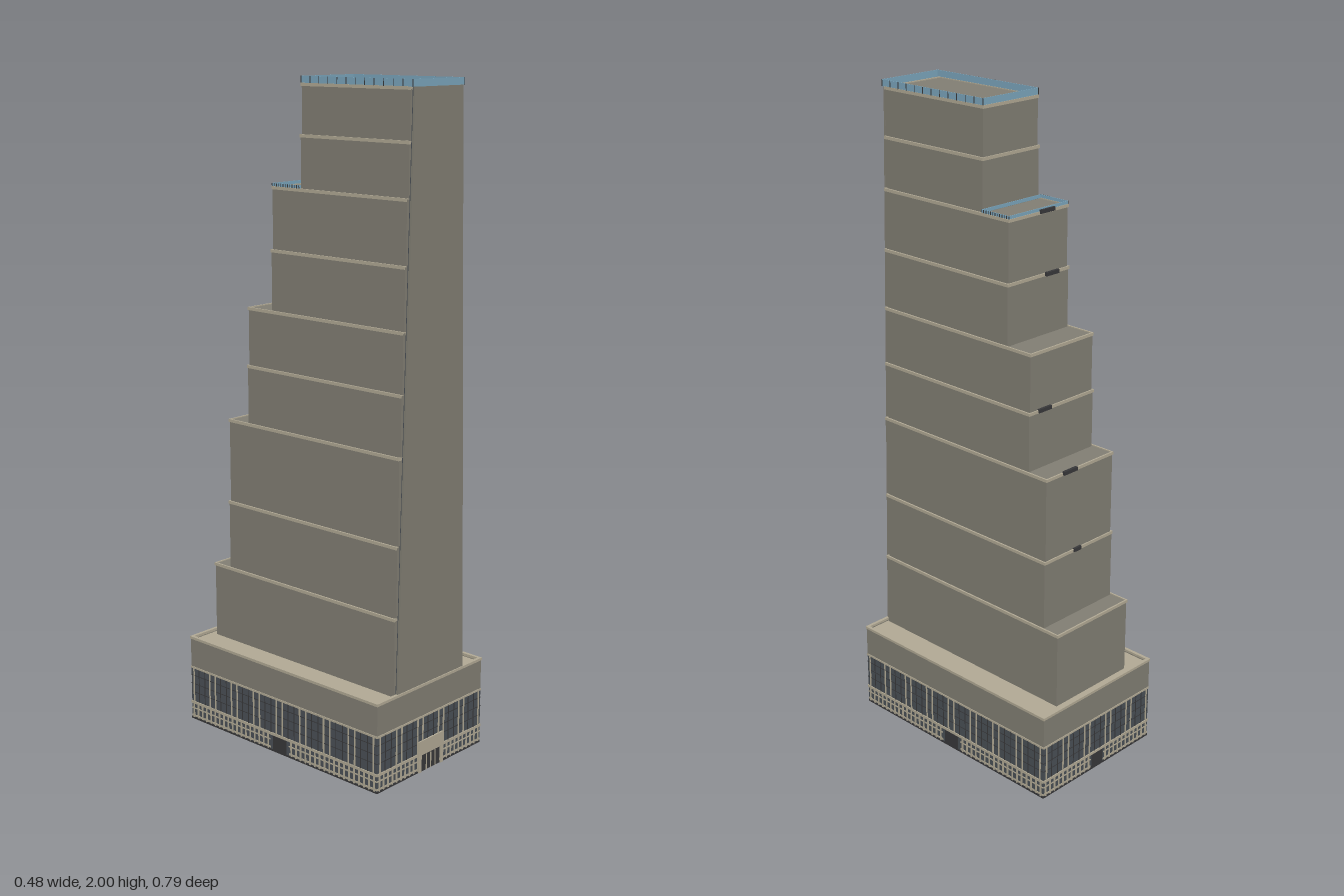
import * as THREE from 'three';

const mat = (name, color, side = THREE.FrontSide) => {
  const m = new THREE.MeshStandardMaterial({ color, side });
  m.name = name;
  return m;
};

export function createModel() {
  const stone = mat('grey stone', 0x827f74);
  const beige = mat('beige trim', 0xb2aa95);
  const windowDark = mat('dark window', 0x4a5056);
  const frame = mat('dark frame', 0x38383a);
  const glass = mat('blue glass', 0x7ba6bd, THREE.DoubleSide);

  const model = new THREE.Group();
  model.name = 'steppedTower';

  // Box given by its limits on each axis
  const box = (parent, name, material, x0, x1, y0, y1, z0, z1) => {
    const mesh = new THREE.Mesh(new THREE.BoxGeometry(x1 - x0, y1 - y0, z1 - z0), material);
    mesh.position.set((x0 + x1) / 2, (y0 + y1) / 2, (z0 + z1) / 2);
    mesh.name = name;
    parent.add(mesh);
    return mesh;
  };

  // Four thin walls around a rectangle
  const ring = (parent, name, material, hx, y0, y1, z0, z1, t) => {
    box(parent, name, material, -hx, hx, y0, y1, z1 - t, z1);
    box(parent, name, material, -hx, hx, y0, y1, z0, z0 + t);
    for (const s of [-1, 1]) {
      const xa = s > 0 ? hx - t : -hx;
      box(parent, name, material, xa, xa + t, y0, y1, z0 + t, z1 - t);
    }
  };

  // Podium: hollow, open underneath
  const podium = new THREE.Group();
  podium.name = 'podium';
  model.add(podium);
  const HX = 0.238, HZ = 0.389;
  ring(podium, 'upperPodiumWall', stone, HX, 0.175, 0.268, -HZ, HZ, 0.008);
  ring(podium, 'podiumParapet', beige, HX + 0.002, 0.267, 0.275, -HZ - 0.002, HZ + 0.002, 0.01);
  box(podium, 'podiumRoof', beige, -HX + 0.008, HX - 0.008, 0.258, 0.265, -HZ + 0.008, HZ - 0.008);

  // One glazed podium wall, built facing +z
  const facade = (length, doorHalf) => {
    const wall = new THREE.Group();
    wall.name = 'podiumFacade';
    const h = length / 2;
    box(wall, 'windowWall', windowDark, -h, h, 0, 0.175, -0.006, 0);
    box(wall, 'storeyBand', beige, -h, h, 0.052, 0.06, 0, 0.003);
    box(wall, 'headBand', beige, -h, h, 0.17, 0.176, 0, 0.002);
    box(wall, 'plinth', frame, -h, h, 0, 0.006, 0, 0.002);
    for (const y of [0.09, 0.118, 0.146])
      box(wall, 'transom', frame, -h, h, y, y + 0.002, 0, 0.001);
    const bays = Math.round(length / 0.098);
    const step = length / bays;
    for (let i = 0; i < bays; i++) {
      const c = -h + (i + 0.5) * step;
      // paired posts and fine mullions
      for (const s of [-1, 1]) {
        box(wall, 'post', beige, c + s * 0.036 - 0.0018, c + s * 0.036 + 0.0018, 0.06, 0.172, 0, 0.003);
        box(wall, 'mullion', frame, c + s * 0.013 - 0.001, c + s * 0.013 + 0.001, 0.06, 0.172, 0, 0.002);
      }
      // shopfront piers and rails
      for (let k = -2; k <= 2; k++) {
        const x = c + k * step / 5;
        if (Math.abs(x) < doorHalf) continue;
        box(wall, 'shopPier', beige, x - 0.003, x + 0.003, 0.004, 0.052, 0, 0.002);
        box(wall, 'shopRail', beige, x - step / 10, x + step / 10, 0.034, 0.038, 0, 0.0015);
        box(wall, 'shopSill', beige, x - step / 10, x + step / 10, 0.008, 0.014, 0, 0.0015);
      }
    }
    box(wall, 'doorway', frame, -doorHalf * 0.8, doorHalf * 0.8, 0, 0.05, 0, 0.002);
    podium.add(wall);
    return wall;
  };
  const front = facade(2 * HX, 0.05);
  front.position.z = HZ;
  // Front entrance with raised portal
  box(front, 'portalHead', beige, -0.056, 0.056, 0.056, 0.098, 0, 0.005);
  for (const s of [-1, 1])
    box(front, 'portalJamb', beige, s * 0.05 - 0.006, s * 0.05 + 0.006, 0, 0.056, 0, 0.005);
  for (const x of [-0.02, 0, 0.02])
    box(front, 'doorFrame', beige, x - 0.0015, x + 0.0015, 0, 0.05, 0.002, 0.004);
  const back = facade(2 * HX, 0.03);
  back.rotation.y = Math.PI;
  back.position.z = -HZ;
  for (const s of [-1, 1]) {
    const side = facade(2 * HZ, 0.035);
    side.rotation.y = s * Math.PI / 2;
    side.position.x = s * HX;
  }

  // Tower: stacked blocks [bottom, top, back z, half width]
  const tower = new THREE.Group();
  tower.name = 'tower';
  model.add(tower);
  const ZF = 0.378;
  const tiers = [
    [0.256, 0.5, -0.36, 0.153],
    [0.5, 0.712, -0.3, 0.146],
    [0.712, 0.97, -0.299, 0.141],
    [0.97, 1.147, -0.224, 0.134],
    [1.147, 1.322, -0.223, 0.129],
    [1.322, 1.502, -0.13, 0.124],
    [1.502, 1.684, -0.129, 0.119],
    [1.684, 1.836, -0.022, 0.112],
    [1.836, 1.978, -0.021, 0.108],
  ];
  for (const [y0, y1, zb, hx] of tiers) {
    box(tower, 'towerBlock', stone, -hx, hx, y0, y1, zb, ZF);
    ring(tower, 'ledgeTrim', beige, hx + 0.002, y1 - 0.006, y1 + 0.003, zb - 0.003, ZF, 0.005);
  }

  // Smooth tapering front slab with glazed edges behind it
  const slab = (name, material, wb, wt, z, depth) => {
    const shape = new THREE.Shape();
    shape.moveTo(-wb, 0.266);
    shape.lineTo(wb, 0.266);
    shape.lineTo(wt, 1.98);
    shape.lineTo(-wt, 1.98);
    const mesh = new THREE.Mesh(
      new THREE.ExtrudeGeometry(shape, { depth, bevelEnabled: false }), material);
    mesh.position.z = z;
    mesh.name = name;
    tower.add(mesh);
  };
  slab('frontEdgeGlazing', windowDark, 0.147, 0.1, ZF, 0.004);
  slab('frontSlab', stone, 0.149, 0.102, ZF + 0.004, 0.006);

  // Glass railings on the summit and the upper terrace
  const railing = (hx, y0, y1, z0, z1) => {
    ring(tower, 'glassRailing', glass, hx, y0, y1, z0, z1, 0.002);
    const n = 12;
    for (let i = 0; i <= n; i++) {
      const z = z0 + (z1 - z0) * i / n;
      for (const s of [-1, 1])
        box(tower, 'railingPost', frame, s * hx - 0.001, s * hx + 0.001, y0, y1, z - 0.001, z + 0.001);
    }
  };
  railing(0.109, 1.98, 2, -0.022, 0.386);
  railing(0.119, 1.686, 1.696, -0.13, -0.024);

  // Small service units on the rear ledges [x, y, z, width]
  const units = [
    [0.048, 0.972, -0.305, 0.055],
    [0.01, 0.712, -0.303, 0.03],
    [0.073, 1.147, -0.227, 0.052],
    [-0.03, 1.686, -0.134, 0.058],
    [-0.05, 1.502, -0.137, 0.052],
  ];
  for (const [x, y, z, w] of units)
    box(tower, 'ledgeUnit', frame, x - w / 2, x + w / 2, y - 0.005, y + 0.006, z - 0.004, z + 0.005);

  return model;
}
